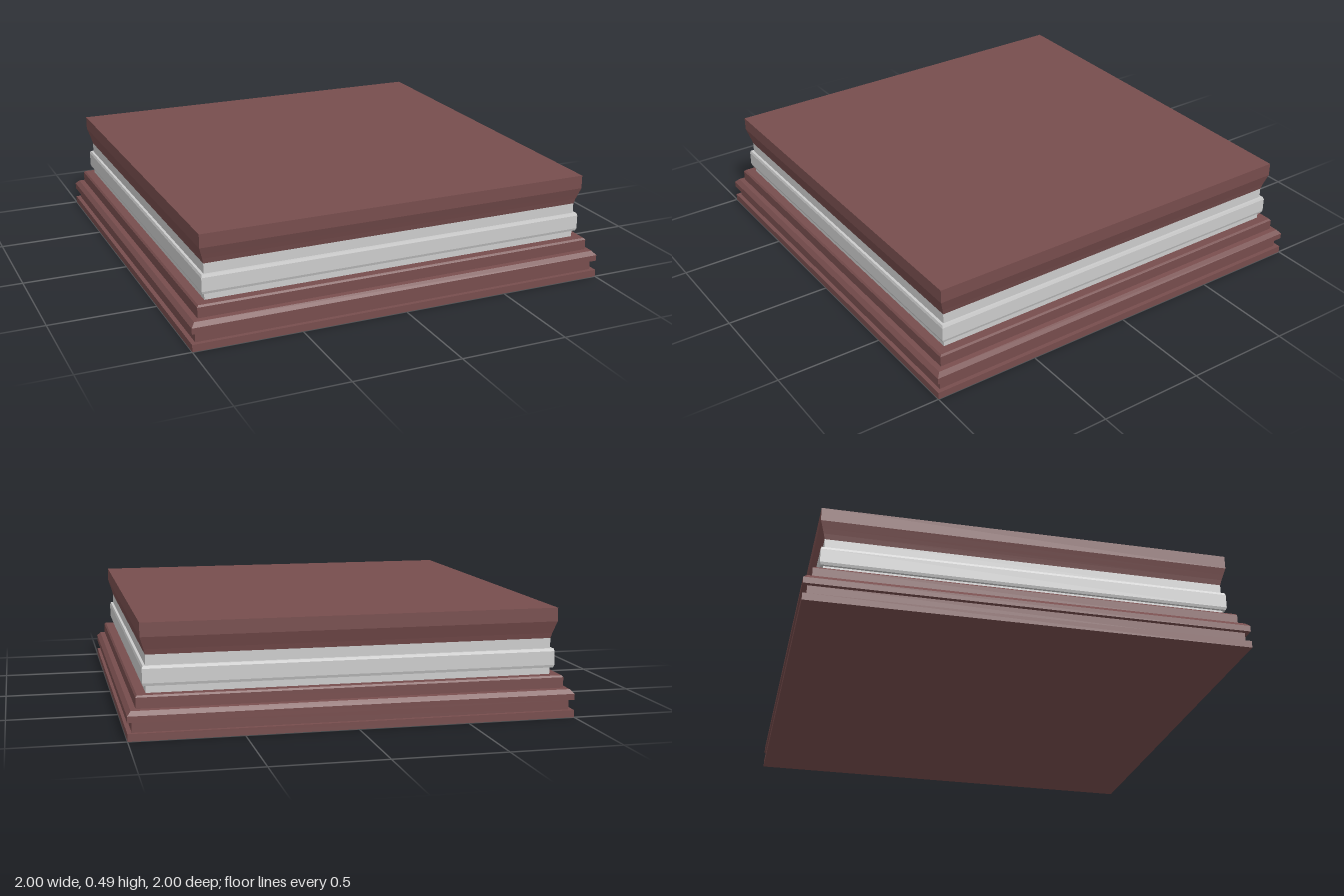
import * as THREE from 'three';

const brown = new THREE.MeshStandardMaterial({ color: 0x774d4d, flatShading: true });
const grey = new THREE.MeshStandardMaterial({ color: 0xcccccc, flatShading: true });

// Square moulding: a [half-width, y] profile, bottom to top, turned with four mitred sides and closed ends.
function moulding(name, profile, material) {
  const points = profile.map(([w, y]) => new THREE.Vector2(w * Math.SQRT2, y));
  points.unshift(new THREE.Vector2(0, profile[0][1]));
  points.push(new THREE.Vector2(0, profile[profile.length - 1][1]));
  const geometry = new THREE.LatheGeometry(points, 4, Math.PI / 4);
  const mesh = new THREE.Mesh(geometry.toNonIndexed(), material);
  mesh.geometry.computeVertexNormals();
  mesh.name = name;
  return mesh;
}

export function createModel() {
  const group = new THREE.Group();
  group.name = 'squarePlinth';

  // Stepped foot with a recessed groove and a chamfered ledge
  group.add(moulding('base', [
    [1, 0], [1, 0.033], [0.98, 0.033], [0.98, 0.08],
    [1, 0.08], [1, 0.108], [0.983, 0.127], [0.96, 0.13],
    [0.96, 0.178], [0.953, 0.186],
  ], brown));

  // Grey neck with a raised, softened band
  group.add(moulding('neck', [
    [0.912, 0.186], [0.912, 0.218], [0.924, 0.218], [0.928, 0.23],
    [0.928, 0.293], [0.924, 0.305], [0.912, 0.305], [0.912, 0.351],
  ], grey));

  // Cap slab on a concave cove
  group.add(moulding('cap', [
    [0.912, 0.351], [0.918, 0.375], [0.925, 0.398], [0.935, 0.43], [0.935, 0.492],
  ], brown));

  return group;
}
